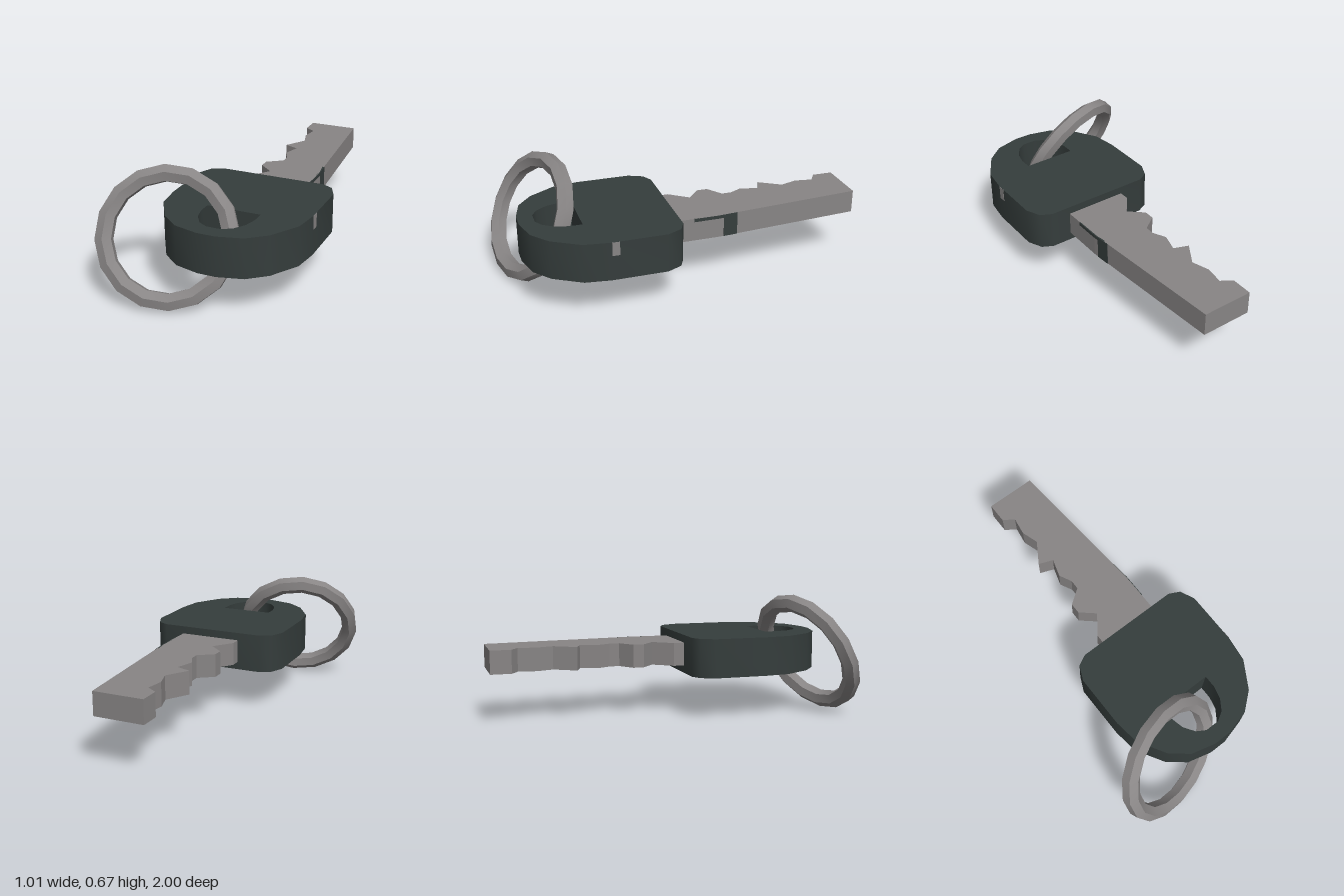
import * as THREE from 'three';
import { toCreasedNormals } from 'three/addons/utils/BufferGeometryUtils.js';

const vec = (pts) => pts.map(([x, z]) => new THREE.Vector2(x, z));

// Extrude an outline drawn in x/z between two heights
function slab(outline, bottom, top, hole) {
  const shape = new THREE.Shape(vec(outline));
  if (hole) shape.holes.push(new THREE.Path(vec(hole)));
  const geo = new THREE.ExtrudeGeometry(shape, { depth: top - bottom, bevelEnabled: false });
  geo.rotateX(Math.PI / 2);
  geo.translate(0, top, 0);
  return geo;
}

// Mirror half an outline about the handle's centre line
function mirrored(half, cx) {
  return [
    ...half.map(([d, z]) => [cx + d, z]),
    ...half.slice().reverse().map(([d, z]) => [cx - d, z]),
  ];
}

export function createModel() {
  const metal = new THREE.MeshStandardMaterial({ color: 0x888585 });
  metal.name = 'grey metal';
  const plastic = new THREE.MeshStandardMaterial({ color: 0x353d3c });
  plastic.name = 'dark plastic';

  const model = new THREE.Group();
  model.name = 'keyWithRing';
  const add = (name, geo, mat) => {
    const mesh = new THREE.Mesh(geo, mat);
    mesh.name = name;
    model.add(mesh);
    return mesh;
  };

  // Handle: rounded bow with a D-shaped hole
  const cx = 0.113;
  const bow = mirrored([
    [0.295, 0.08], [0.355, 0.11], [0.392, 0.19], [0.392, 0.49],
    [0.373, 0.63], [0.283, 0.78], [0.185, 0.86], [0.05, 0.895],
  ], cx);
  const eye = mirrored([
    [0.147, 0.58], [0.147, 0.65], [0.13, 0.72], [0.09, 0.78], [0.04, 0.81],
  ], cx);
  add('handle', toCreasedNormals(slab(bow, 0.23, 0.445, eye), 0.75), plastic);

  // Blade: tapered back edge and cut teeth
  add('blade', slab([
    [-0.05, -1], [0.23, -1], [0.297, -0.16], [0.297, 0.12], [-0.05, 0.12],
    [-0.05, 0.02], [0.03, -0.085], [-0.05, -0.155], [-0.05, -0.215],
    [0.035, -0.275], [0.035, -0.33], [0, -0.4], [0.03, -0.5], [-0.05, -0.53],
    [0.025, -0.65], [-0.005, -0.745], [0.01, -0.845], [-0.05, -0.885],
  ], 0.273, 0.402), metal);

  // Dark mark on the blade's straight edge
  add('bladeMark', slab([
    [0.28, -0.27], [0.291, -0.27], [0.297, -0.19], [0.29, -0.19],
  ], 0.273, 0.402), plastic);
  add('bladeMarkStrip', slab([
    [0.292, -0.19], [0.297, -0.19], [0.3, -0.16], [0.3, -0.02], [0.294, -0.02],
  ], 0.384, 0.402), plastic);

  // Worn chip on the handle's side
  const chip = new THREE.BoxGeometry(0.004, 0.075, 0.04);
  chip.translate(0.505, 0.407, 0.465);
  add('handleChip', chip, metal);

  // Ring: hexagonal wire swept round in 16 steps, tilted through the hole
  const section = [];
  for (let i = 0; i <= 6; i++) {
    const a = Math.PI / 6 + (i * Math.PI) / 3;
    section.push(new THREE.Vector2(0.322 + 0.049 * Math.cos(a), 0.049 * Math.sin(a)));
  }
  const ring = add('ring', toCreasedNormals(new THREE.LatheGeometry(section, 16), 0.5), metal);
  const axis = new THREE.Vector3(0.28, 0.44, 0.85).normalize();
  ring.quaternion.setFromUnitVectors(new THREE.Vector3(0, 1, 0), axis);
  ring.position.set(-0.155, 0.334, 0.788);

  return model;
}
